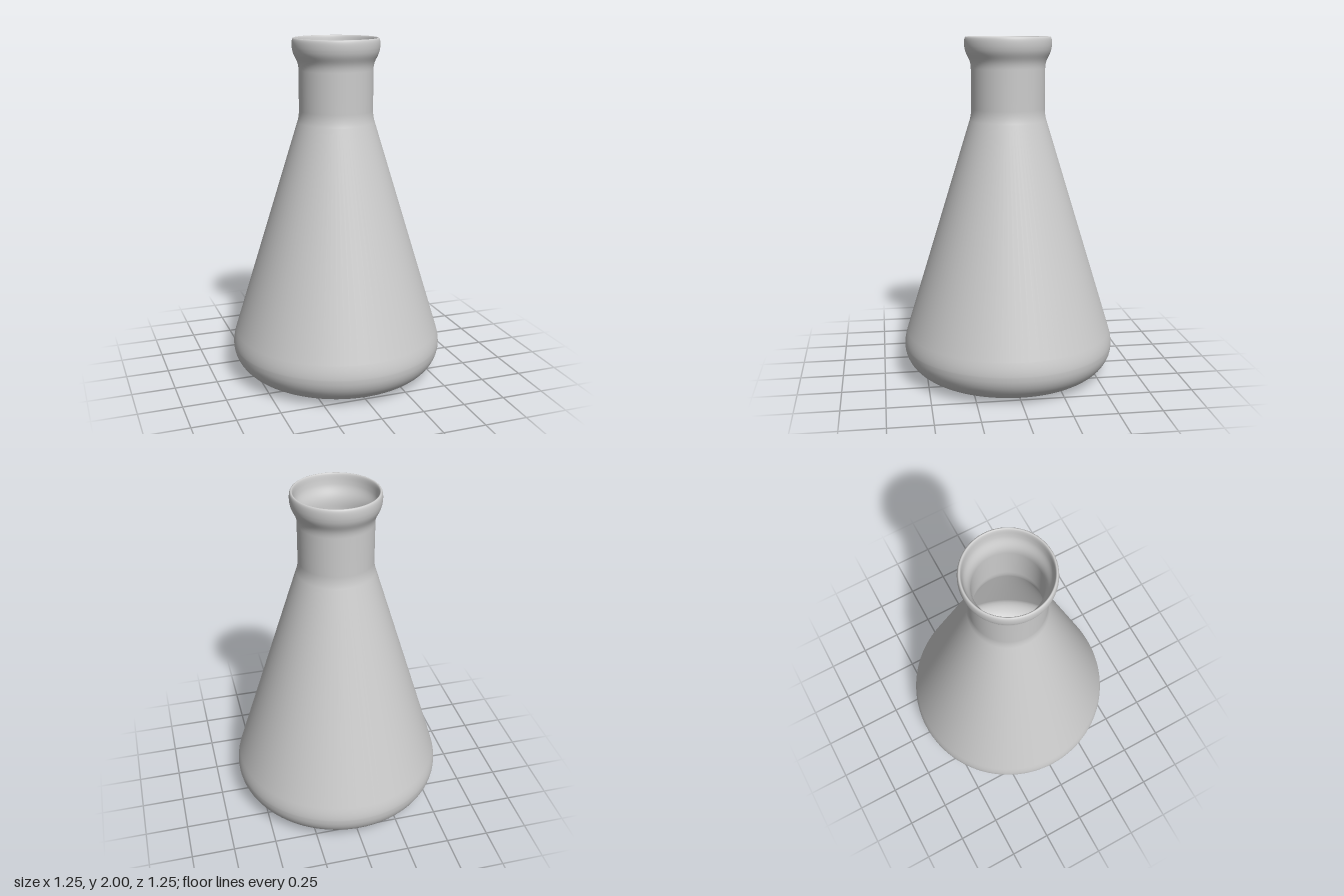
import * as THREE from 'three';

// Conical flask: one closed wall profile, revolved about the y axis.
export function createModel() {
  const group = new THREE.Group();
  group.name = 'conicalFlask';

  const p = new THREE.Path();
  // outer wall: flat base, rounded heel, cone, neck
  p.moveTo(0, 0);
  p.lineTo(0.42, 0);
  p.bezierCurveTo(0.54, 0, 0.625, 0.085, 0.625, 0.18);
  p.bezierCurveTo(0.625, 0.21, 0.618, 0.238, 0.61, 0.265);
  p.lineTo(0.226, 1.515);
  p.quadraticCurveTo(0.214, 1.55, 0.214, 1.59);
  p.lineTo(0.214, 1.82);
  // flared lip with a rounded rim
  p.bezierCurveTo(0.214, 1.88, 0.244, 1.89, 0.25, 1.94);
  p.bezierCurveTo(0.253, 1.96, 0.253, 2, 0.24, 2);
  p.bezierCurveTo(0.23, 2, 0.23, 1.97, 0.226, 1.95);
  p.bezierCurveTo(0.22, 1.9, 0.189, 1.89, 0.189, 1.82);
  // inner wall back down to the floor
  p.lineTo(0.189, 1.59);
  p.quadraticCurveTo(0.189, 1.55, 0.201, 1.511);
  p.lineTo(0.586, 0.258);
  p.bezierCurveTo(0.594, 0.232, 0.6, 0.21, 0.6, 0.18);
  p.bezierCurveTo(0.6, 0.098, 0.525, 0.025, 0.42, 0.025);
  p.lineTo(0, 0.025);

  const geometry = new THREE.LatheGeometry(p.getPoints(12), 96);
  const flask = new THREE.Mesh(
    geometry,
    new THREE.MeshStandardMaterial({ color: 0xcccccc })
  );
  flask.name = 'flaskWall';
  group.add(flask);
  return group;
}
